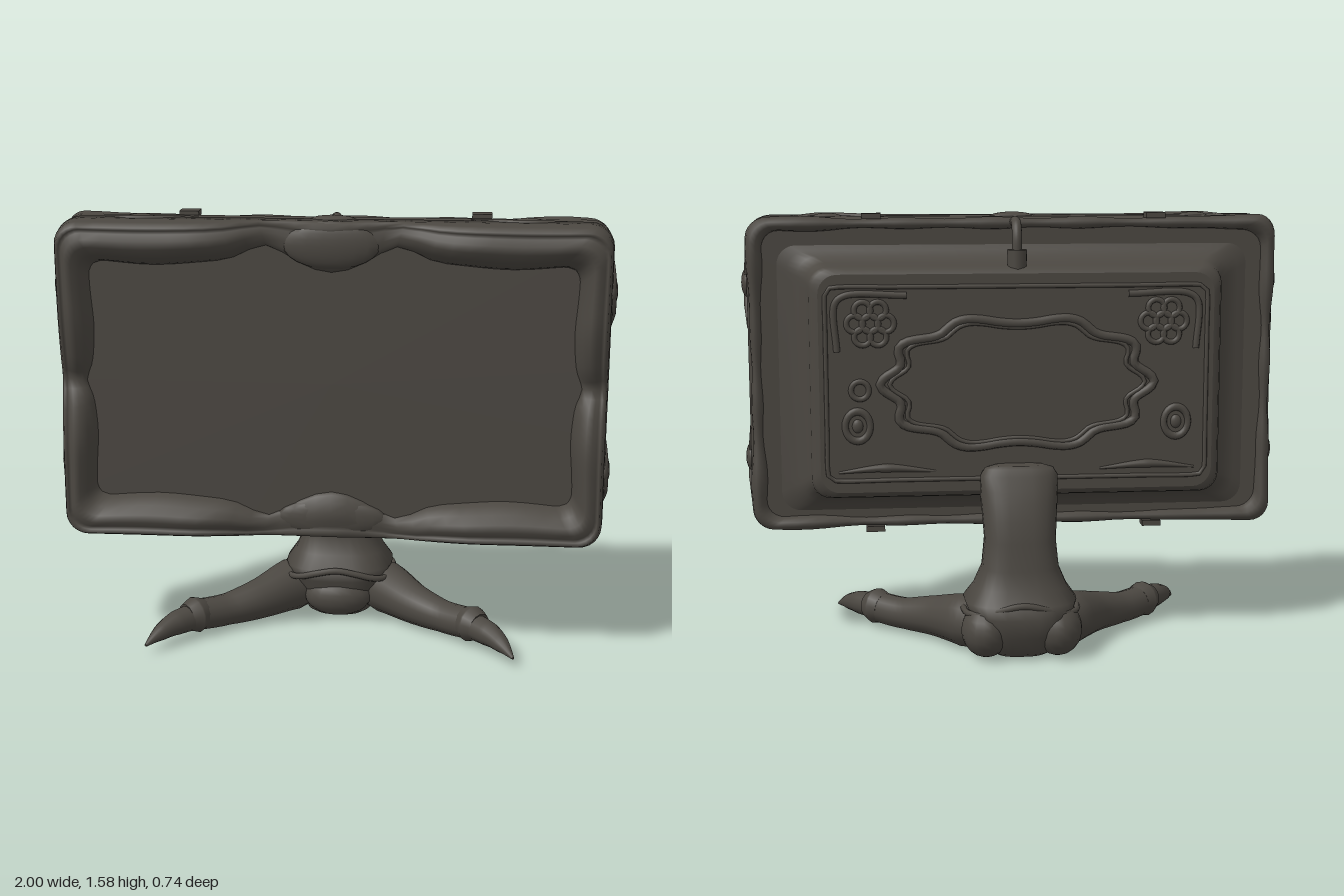
import * as THREE from 'three';

const V = (x, y, z) => new THREE.Vector3(x, y, z);
const CY = 0.995; // height of the display centre
const gauss = (x, w) => Math.exp(-(x * x) / (w * w));
const smooth = THREE.MathUtils.smoothstep;

// Skin a list of point rings; ends are capped unless the loft closes on itself
function loft(rings, closed = false) {
  const n = rings[0].length, pos = [], idx = [];
  rings.forEach(r => r.forEach(p => pos.push(p.x, p.y, p.z)));
  const spans = closed ? rings.length : rings.length - 1;
  for (let i = 0; i < spans; i++) for (let j = 0; j < n; j++) {
    const a = i * n + j, b = i * n + (j + 1) % n;
    const i2 = (i + 1) % rings.length, c = i2 * n + j, d = i2 * n + (j + 1) % n;
    idx.push(a, b, d, a, d, c);
  }
  if (!closed) [0, rings.length - 1].forEach((k, e) => {
    const base = pos.length / 3, mid = V(0, 0, 0);
    rings[k].forEach(p => { pos.push(p.x, p.y, p.z); mid.addScaledVector(p, 1 / n); });
    pos.push(mid.x, mid.y, mid.z);
    for (let j = 0; j < n; j++) {
      const a = base + j, b = base + (j + 1) % n;
      e ? idx.push(a, b, base + n) : idx.push(b, a, base + n);
    }
  });
  // turn the skin outward if its enclosed volume is negative
  const P = i => V(pos[3 * i], pos[3 * i + 1], pos[3 * i + 2]);
  let vol = 0;
  for (let i = 0; i < idx.length; i += 3) vol += P(idx[i]).dot(P(idx[i + 1]).cross(P(idx[i + 2])));
  if (vol < 0) idx.reverse();
  const g = new THREE.BufferGeometry();
  g.setAttribute('position', new THREE.Float32BufferAttribute(pos, 3));
  g.setIndex(idx);
  g.computeVertexNormals();
  return g;
}

// Rounded rectangle ring with many points on each edge
function rrect(hw, hh, r, z, cy = CY, edge = 28, corner = 6) {
  const pts = [], c = [[1, 1], [-1, 1], [-1, -1], [1, -1]];
  c.forEach(([sx, sy], k) => {
    for (let i = 0; i <= corner; i++) {
      const a = (k + i / corner) * Math.PI / 2;
      pts.push(V(sx * (hw - r) + r * Math.cos(a), cy + sy * (hh - r) + r * Math.sin(a), z));
    }
    const a = (k + 1) * Math.PI / 2, [nx, ny] = c[(k + 1) % 4];
    const p = pts[pts.length - 1];
    const q = V(nx * (hw - r) + r * Math.cos(a), cy + ny * (hh - r) + r * Math.sin(a), z);
    for (let i = 1; i < edge; i++) pts.push(p.clone().lerp(q, i / edge));
  });
  return pts;
}

// Round limb along a curve with changing radius
function limb(points, radii, steps = 24, sides = 14) {
  const curve = new THREE.CatmullRomCurve3(points), f = curve.computeFrenetFrames(steps);
  const rings = [];
  for (let i = 0; i <= steps; i++) {
    const t = i / steps, k = t * (radii.length - 1), k0 = Math.min(Math.floor(k), radii.length - 2);
    const r = THREE.MathUtils.lerp(radii[k0], radii[k0 + 1], k - k0), p = curve.getPointAt(t);
    rings.push(Array.from({ length: sides }, (_, j) => {
      const a = j / sides * Math.PI * 2;
      return p.clone().addScaledVector(f.normals[i], r * Math.cos(a)).addScaledVector(f.binormals[i], r * Math.sin(a));
    }));
  }
  return loft(rings);
}

// Squarish horizontal ring: half width, front z, back z
function slab(y, hw, zf, zb, n = 32) {
  const pw = v => Math.sign(v) * Math.pow(Math.abs(v), 0.7);
  return Array.from({ length: n }, (_, j) => {
    const a = j / n * Math.PI * 2;
    return V(hw * pw(Math.cos(a)), y, (zf + zb) / 2 + (zf - zb) / 2 * pw(Math.sin(a)));
  });
}

export function createModel() {
  const model = new THREE.Group();
  const stone = new THREE.MeshStandardMaterial({ color: 0x4b4741 });
  stone.name = 'darkStone';
  const add = (name, geo) => {
    const m = new THREE.Mesh(geo, stone);
    m.name = name;
    model.add(m);
    return m;
  };
  const blob = (name, x, y, z, sx, sy, sz) => {
    const m = add(name, new THREE.SphereGeometry(1, 18, 12));
    m.position.set(x, y, z);
    m.scale.set(sx, sy, sz);
  };
  const ring = (name, x, y, z, r, t, sy = 1) => {
    const m = add(name, new THREE.TorusGeometry(r, t, 8, 24));
    m.position.set(x, y, z);
    m.scale.y = sy;
    return m;
  };

  // Case and screen
  add('case', loft([[0.04, 0.955], [0.07, 0.962], [0.08, 0.975], [0.195, 0.975], [0.2, 0.968]]
    .map(([z, w]) => rrect(w, w - 0.4, 0.075, z))));
  add('screen', loft([0.15, 0.203].map(z => rrect(0.9, 0.52, 0.05, z, 0.99))));

  // Carved bezel: swells to the corners, dips mid side, scalloped inside
  const outer = rrect(0.972, 0.578, 0.08, 0), inner = rrect(0.862, 0.44, 0.06, 0, 0.99);
  const profile = [[0, 0.15, 0], [0, 0.205, 0.1], [0.04, 0.212, 0.6], [0.13, 0.215, 0.95], [0.2, 0.21, 0.84], [0.28, 0.21, 0.82],
    [0.42, 0.214, 1], [0.6, 0.214, 0.95], [0.8, 0.212, 0.65], [0.94, 0.208, 0.25], [1, 0.2, 0], [1, 0.15, 0]];
  add('bezel', loft(outer.map((o, i) => {
    const q = inner[i].clone(), ax = Math.abs(o.x), dy = o.y - CY, edge = Math.abs(dy) > 0.56;
    if (edge) q.y += Math.sign(dy) * (0.055 * gauss(ax - 0.26, 0.1) - 0.04 * gauss(ax, 0.13) - 0.02 * gauss(ax - 0.7, 0.2));
    else q.x += Math.sign(o.x) * (0.02 * gauss(dy, 0.06) - 0.012 * gauss(Math.abs(dy) - 0.25, 0.15));
    const h = 0.083 * Math.sqrt(smooth(Math.abs(dy), -0.02, 0.3) * smooth(ax, 0.24, 0.55)) * smooth(Math.abs(dy), 0, 0.05)
      + 0.03 * gauss(ax, 0.13);
    return profile.map(([t, z, k]) => V(o.x + (q.x - o.x) * t, o.y + (q.y - o.y) * t, z + h * k));
  }), true));
  blob('topCrest', 0, 1.49, 0.212, 0.17, 0.085, 0.033);
  blob('bottomCrest', 0, 0.49, 0.205, 0.2, 0.07, 0.03);

  // Rolled rim round the back of the case
  add('backRim', loft(rrect(0.945, 0.552, 0.07, 0.045).map(p => {
    const dy = p.y - CY, c = smooth(Math.abs(p.x), 0.5, 0.85) * smooth(Math.abs(dy), 0.15, 0.45);
    const r = 0.02 + 0.017 * c + 0.004 * Math.sin(p.x * 19) * Math.sin(dy * 23 + 1);
    const d = V(p.x * 0.6, dy, 0).normalize();
    return Array.from({ length: 10 }, (_, j) => {
      const a = j / 10 * Math.PI * 2;
      return p.clone().addScaledVector(d, r * Math.cos(a)).add(V(0, 0, r * 1.15 * Math.sin(a)));
    });
  }), true));

  // Rear housing flaring into the case
  add('housing', loft([[0.045, 0.88, 0.5], [0.03, 0.83, 0.47], [0.015, 0.79, 0.45], [-0.015, 0.76, 0.43],
    [-0.08, 0.748, 0.42], [-0.105, 0.738, 0.412], [-0.114, 0.715, 0.395]].map(([z, w, h]) => rrect(w, h, 0.07, z, 0.98))));

  // Back panel trim
  const path = (pts, r, closed = true) =>
    new THREE.TubeGeometry(new THREE.CatmullRomCurve3(pts, closed), 120, r, 8, closed);
  add('panelTrim', path(rrect(0.69, 0.35, 0.03, -0.114, 0.98, 6, 3), 0.008));
  const wavy = k => Array.from({ length: 64 }, (_, i) => {
    const a = i / 64 * Math.PI * 2, w = k * (1 + 0.06 * Math.cos(a * 10));
    return V(0.47 * w * Math.sign(Math.cos(a)) * Math.abs(Math.cos(a)) ** 0.8, 0.98 + 0.23 * w * Math.sin(a), -0.116);
  });
  add('wavyFrame', path(wavy(1), 0.016));
  add('wavyFrameLip', path(wavy(0.93), 0.008));
  for (const s of [1, -1]) {
    // upper rosettes and their corner brackets
    for (let i = 0; i < 7; i++) {
      const a = i * Math.PI / 3, r = i < 6 ? 0.055 : 0;
      ring('rosetteLoop', s * 0.53 + r * Math.cos(a), 1.2 + r * Math.sin(a), -0.116, 0.03, 0.01);
    }
    add('cornerBracket', path([V(s * 0.4, 1.3, -0.115), V(s * 0.62, 1.3, -0.115), V(s * 0.655, 1.27, -0.115),
      V(s * 0.65, 1.1, -0.115)], 0.012, false));
    // lower medallions and scroll
    ring('medallion', s * 0.58, 0.83, -0.116, 0.045, 0.012, 1.2);
    blob('medallionBoss', s * 0.58, 0.83, -0.115, 0.02, 0.025, 0.012);
    if (s > 0) ring('smallMedallion', 0.57, 0.96, -0.116, 0.032, 0.01);
    add('lowerScroll', limb([V(s * 0.3, 0.66, -0.114), V(s * 0.48, 0.675, -0.116), V(s * 0.65, 0.66, -0.114)], [0.004, 0.016, 0.004]));
  }

  // Case edge carvings
  for (const s of [1, -1]) {
    for (const y of [1.33, 0.68]) {
      const x = s * 0.974;
      blob('sideShell', x, y, 0.14, 0.024, 0.055, 0.06);
      add('sideLeaf', limb([V(x, y + 0.13, 0.12), V(x, y + 0.06, 0.17), V(x, y - 0.05, 0.17), V(x, y - 0.16, 0.08)], [0.004, 0.016, 0.018, 0.003]));
      add('sideLeaf', limb([V(x, y + 0.12, 0.08), V(x, y + 0.04, 0.1), V(x, y - 0.08, 0.19)], [0.003, 0.014, 0.003]));
    }
    for (const [y, name] of [[1.566, 'top'], [0.424, 'bottom']]) {
      blob(name + 'Shell', s * 0.68, y, 0.14, 0.055, 0.016, 0.045);
      add(name + 'Leaf', limb([V(s * 0.46, y, 0.1), V(s * 0.6, y, 0.17), V(s * 0.72, y, 0.18), V(s * 0.84, y, 0.12)], [0.003, 0.014, 0.016, 0.003]));
      const clip = add(name + 'Clip', new THREE.BoxGeometry(0.07, 0.02, 0.06));
      clip.position.set(s * 0.52, y + (y > 1 ? 0.008 : -0.008), 0.05);
      if (s > 0) blob(name + 'Oval', 0, y, 0.14, 0.085, 0.018, 0.05);
    }
  }

  // Cable and plug
  add('cable', limb([V(0, 1.545, 0.05), V(0, 1.556, 0), V(0, 1.545, -0.045), V(0, 1.505, -0.07), V(0, 1.42, -0.073)], [0.018, 0.018]));
  const plug = add('plug', new THREE.CylinderGeometry(0.036, 0.034, 0.075, 16));
  plug.position.set(0, 1.42, -0.073);

  // Leg rising from the heel to the back of the housing
  add('leg', loft([[0.005, 0.1, -0.06, -0.29], [0.02, 0.125, -0.04, -0.315], [0.09, 0.15, -0.03, -0.35], [0.16, 0.19, 0.0, -0.365],
    [0.2, 0.205, -0.005, -0.34], [0.25, 0.17, -0.045, -0.31], [0.32, 0.14, -0.068, -0.292], [0.42, 0.13, -0.07, -0.28],
    [0.5, 0.135, -0.05, -0.265], [0.56, 0.14, -0.025, -0.245], [0.6, 0.142, -0.05, -0.23], [0.65, 0.14, -0.09, -0.208],
    [0.675, 0.125, -0.105, -0.195], [0.685, 0.09, -0.115, -0.18]].map(a => slab(...a))));
  add('ankleCuff', path(slab(0.2, 0.207, 0, -0.335, 24).map(p => p.setY(0.185 + 0.02 * Math.cos(p.x * 16))), 0.012));
  blob('footWeb', 0, 0.085, -0.07, 0.13, 0.08, 0.08);

  // Two toes with knuckle rings and claws
  for (const s of [1, -1]) {
    blob('heelLobe', s * 0.13, 0.1, -0.255, 0.09, 0.098, 0.105);
    add('toe', limb([V(s * 0.08, 0.1, -0.23), V(s * 0.18, 0.1, -0.13), V(s * 0.3, 0.083, 0), V(s * 0.42, 0.07, 0.09), V(s * 0.53, 0.078, 0.175)],
      [0.085, 0.1, 0.078, 0.06, 0.058]));
    add('knuckle', limb([V(s * 0.49, 0.076, 0.14), V(s * 0.515, 0.078, 0.165), V(s * 0.545, 0.076, 0.195)], [0.056, 0.068, 0.052]));
    add('claw', limb([V(s * 0.525, 0.075, 0.18), V(s * 0.59, 0.07, 0.255), V(s * 0.635, 0.054, 0.32), V(s * 0.667, 0.034, 0.37)],
      [0.05, 0.045, 0.03, 0.005]));
  }
  return model;
}
